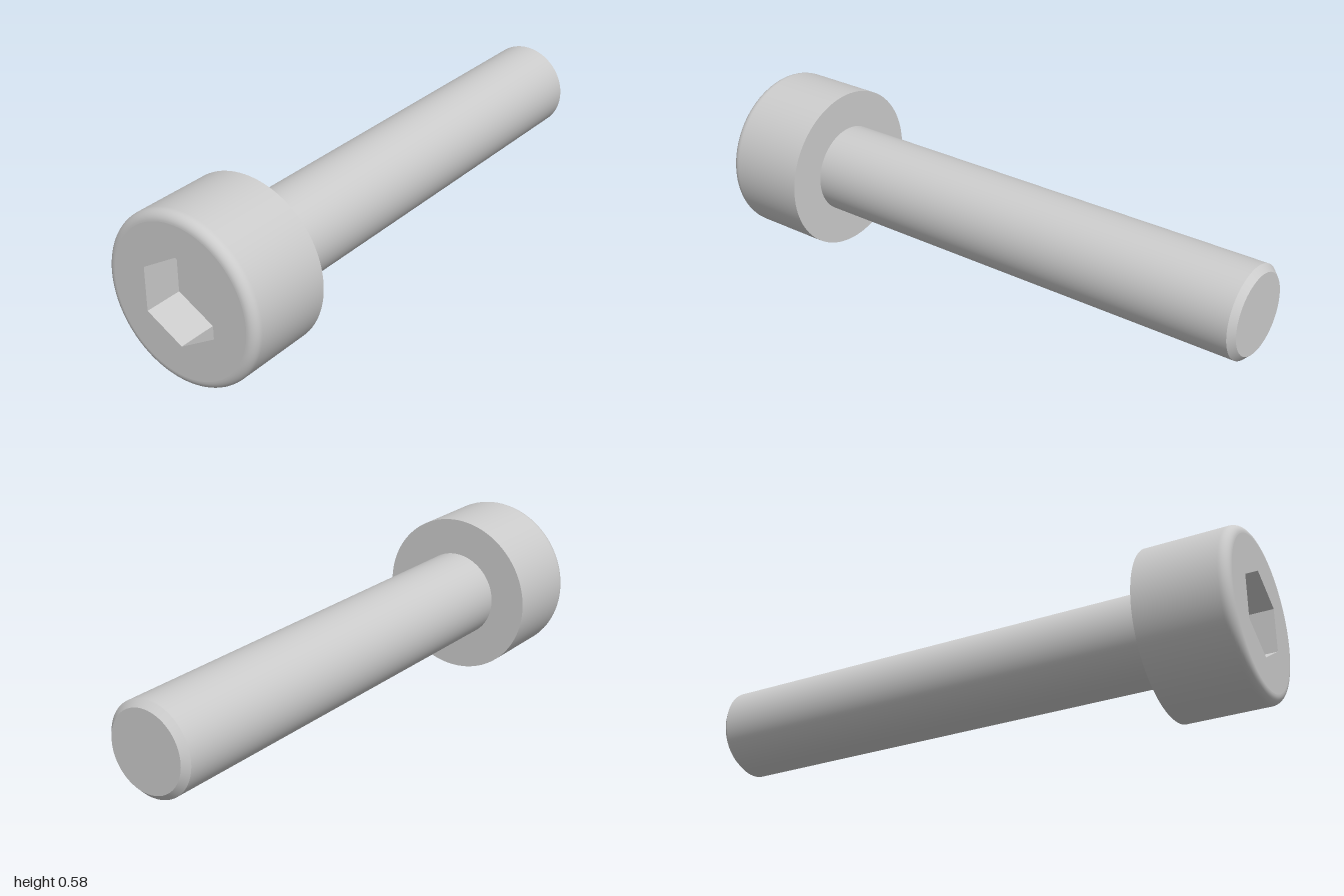
import * as THREE from 'three';

const SEG = 96;
const U = 2 / 19;             // one millimetre: the screw is 19 mm long
const HEAD_R = 2.75 * U, HEAD_L = 3 * U, FILLET = 0.3 * U;
const SHANK_R = 1.5 * U, TOTAL_L = 2, CHAMFER = 0.2 * U;
const HEX_R = 2.5 * U / Math.sqrt(3), HEX_DEPTH = 1.3 * U;

const smooth = new THREE.MeshStandardMaterial({ color: 0xcccccc });
const faceted = new THREE.MeshStandardMaterial({ color: 0xcccccc, flatShading: true });

// Surface turned about the screw axis; each smooth section is its own lathe so rims stay sharp
function turned(name, points, segments = SEG, phi = 0, material = smooth) {
  const profile = points.map(([r, y]) => new THREE.Vector2(r, y));
  const mesh = new THREE.Mesh(new THREE.LatheGeometry(profile, segments, phi), material);
  mesh.name = name;
  return mesh;
}

export function createModel() {
  const model = new THREE.Group();
  model.name = 'socketHeadScrew';
  const screw = new THREE.Group();
  screw.name = 'screw';

  // Head: rounded outer rim running into the straight side
  const side = [];
  for (let i = 0; i <= 10; i++) {
    const a = (i / 10) * Math.PI / 2;
    side.push([HEAD_R - FILLET + FILLET * Math.sin(a), FILLET - FILLET * Math.cos(a)]);
  }
  side.push([HEAD_R, FILLET * 1.1], [HEAD_R, HEAD_L]);
  screw.add(turned('headSide', side));
  screw.add(turned('headUnderside', [[HEAD_R, HEAD_L], [SHANK_R, HEAD_L]]));

  // Head face with hexagonal opening
  const face = new THREE.Shape().absarc(0, 0, HEAD_R - FILLET, 0, Math.PI * 2);
  const hex = [];
  for (let i = 0; i < 6; i++) {
    const a = -i * Math.PI / 3;
    hex.push(new THREE.Vector2(HEX_R * Math.cos(a), HEX_R * Math.sin(a)));
  }
  face.holes.push(new THREE.Path(hex));
  const headFace = new THREE.Mesh(new THREE.ShapeGeometry(face, SEG).rotateX(Math.PI / 2), smooth);
  headFace.name = 'headFace';
  screw.add(headFace);

  // Hexagonal socket: floor and inward-facing walls
  screw.add(turned('hexSocket', [[0, HEX_DEPTH], [HEX_R, HEX_DEPTH], [HEX_R, 0]], 6, Math.PI / 2, faceted));

  // Shank with chamfered tip
  const tipR = SHANK_R - CHAMFER;
  screw.add(turned('shank', [[SHANK_R, HEAD_L], [SHANK_R, TOTAL_L - CHAMFER]]));
  screw.add(turned('tipChamfer', [[SHANK_R, TOTAL_L - CHAMFER], [tipR, TOTAL_L]]));
  screw.add(turned('tipFace', [[tipR, TOTAL_L], [0, TOTAL_L]]));

  // Lay the screw along x, head at -x, resting on the ground
  screw.rotation.z = -Math.PI / 2;
  screw.position.set(-1, HEAD_R, 0);
  model.add(screw);
  return model;
}
